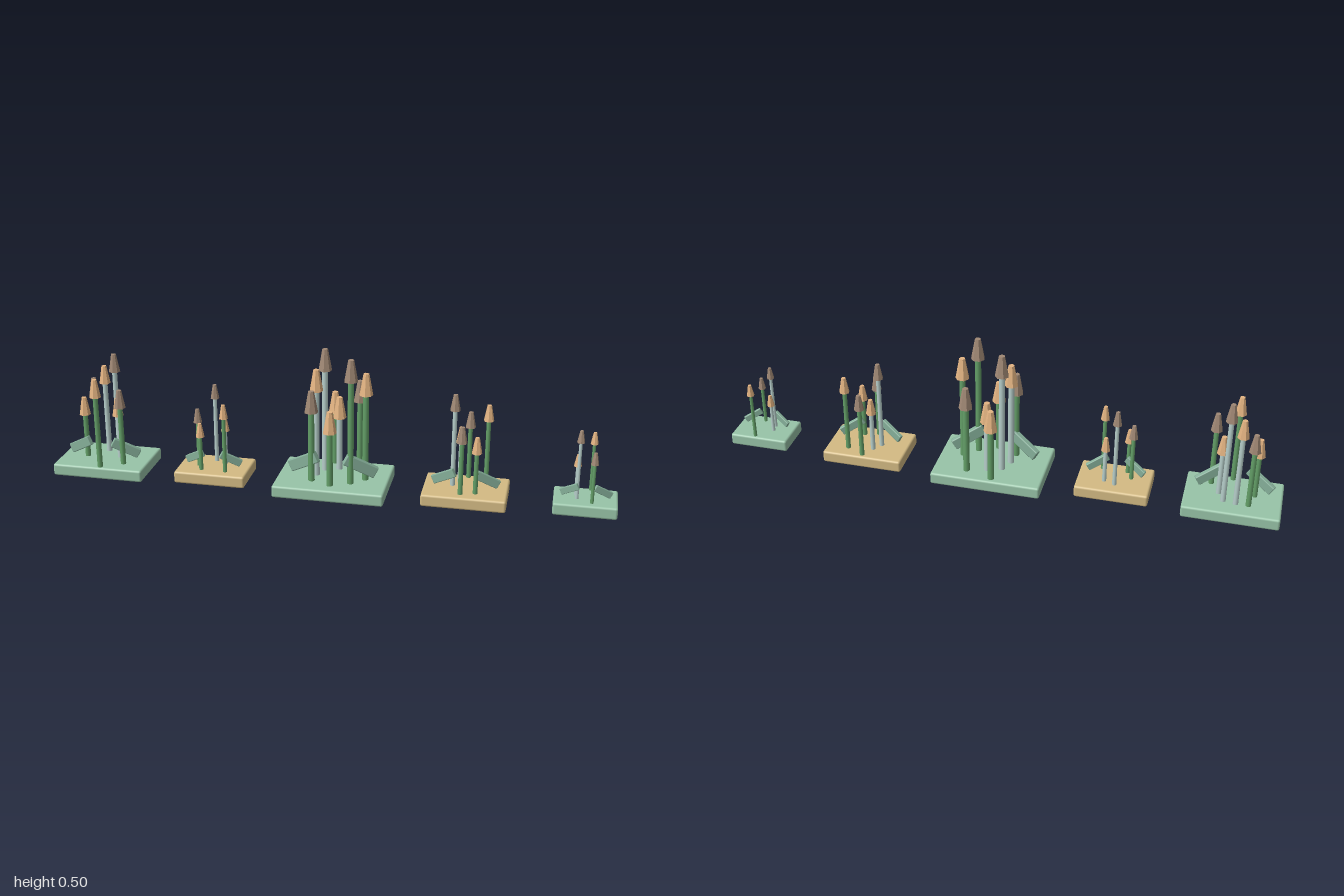
import * as THREE from 'three';
import { RoundedBoxGeometry } from 'three/addons/geometries/RoundedBoxGeometry.js';

const mat = (color, flatShading = false) => new THREE.MeshStandardMaterial({ color, flatShading });
const MATS = {
  greenBase: mat(0x98c4a8), tanBase: mat(0xd4bb84), leaf: mat(0x86b09a),
  green: mat(0x64a068), pale: mat(0xb8d0cc),
  orange: mat(0xe4b482, true), brown: mat(0xa08874, true),
};
const BASE_H = 0.044;

// Five planters. Each stalk: x, z, top height, cap colour, stem colour
const PLANTERS = [
  { x: -0.833, w: 0.333, d: 0.226, base: 'greenBase', stalks: [
    [-0.904, 0.011, 0.272, 'orange', 'green'], [-0.888, -0.05, 0.325, 'brown', 'green'],
    [-0.845, -0.05, 0.375, 'orange', 'pale'], [-0.824, 0.097, 0.375, 'orange', 'green'],
    [-0.802, -0.042, 0.425, 'brown', 'pale'], [-0.783, 0, 0.272, 'orange', 'pale'],
    [-0.752, 0.054, 0.325, 'brown', 'green']] },
  { x: -0.423, w: 0.258, d: 0.176, base: 'tanBase', stalks: [
    [-0.428, -0.04, 0.337, 'brown', 'pale'], [-0.39, -0.026, 0.22, 'orange', 'pale'],
    [-0.479, 0.011, 0.26, 'brown', 'green'], [-0.461, 0.046, 0.22, 'orange', 'green'],
    [-0.372, 0.049, 0.298, 'orange', 'green']] },
  { x: 0.0145, w: 0.393, d: 0.272, base: 'greenBase', stalks: [
    [-0.005, -0.112, 0.317, 'orange', 'green'], [0.021, -0.061, 0.317, 'orange', 'pale'],
    [-0.027, -0.043, 0.497, 'brown', 'pale'], [0.091, -0.082, 0.376, 'brown', 'green'],
    [-0.048, 0.006, 0.437, 'orange', 'pale'], [-0.055, 0.057, 0.376, 'brown', 'green'],
    [0.016, 0.087, 0.317, 'orange', 'green'], [0.083, 0.054, 0.497, 'brown', 'green'],
    [0.128, 0.012, 0.437, 'orange', 'green']] },
  { x: 0.48, w: 0.292, d: 0.2, base: 'tanBase', stalks: [
    [0.481, -0.082, 0.29, 'brown', 'green'], [0.545, -0.049, 0.333, 'orange', 'green'],
    [0.455, -0.036, 0.25, 'orange', 'pale'], [0.433, -0.004, 0.379, 'brown', 'pale'],
    [0.517, 0.05, 0.25, 'orange', 'green'], [0.467, 0.065, 0.29, 'brown', 'green']] },
  { x: 0.888, w: 0.217, d: 0.15, base: 'greenBase', stalks: [
    [0.904, -0.061, 0.258, 'orange', 'green'], [0.854, -0.01, 0.193, 'orange', 'pale'],
    [0.858, 0.019, 0.292, 'brown', 'pale'], [0.909, 0.045, 0.227, 'brown', 'green']] },
];

function add(parent, name, geometry, material, x, y, z) {
  const mesh = new THREE.Mesh(geometry, material);
  mesh.name = name;
  mesh.position.set(x, y, z);
  parent.add(mesh);
  return mesh;
}

function makePlanter({ x, w, d, base, stalks }) {
  const group = new THREE.Group();
  group.name = 'planter';
  const s = w / 0.393; // everything but the slab thickness scales with the width

  add(group, 'baseSlab', new RoundedBoxGeometry(w, BASE_H, d, 2, 0.008), MATS[base], x, BASE_H / 2, 0);

  // Slender stems with tapered caps
  const capH = 0.077 * s;
  for (const [sx, sz, top, cap, stem] of stalks) {
    const stalk = new THREE.Group();
    stalk.name = 'stalk';
    const y0 = BASE_H - 0.01, y1 = top - capH + 0.005;
    add(stalk, 'stem', new THREE.CylinderGeometry(0.0105 * s, 0.0115 * s, y1 - y0, 10),
      MATS[stem], sx, (y0 + y1) / 2, sz);
    add(stalk, 'cap', new THREE.CylinderGeometry(0.0105 * s, 0.0245 * s, capH, 7),
      MATS[cap], sx, top - capH / 2, sz);
    group.add(stalk);
  }

  // Pair of slanted leaves, inner ends raised and turned forward
  for (const side of [-1, 1]) {
    const leaf = add(group, 'leaf', new RoundedBoxGeometry(0.125 * s, 0.042 * s, 0.021 * s, 1, 0.004 * s),
      MATS.leaf, x + side * 0.101 * s, BASE_H + 0.062 * s, 0.038 * s);
    leaf.rotation.set(0, side * 0.38, -side * 0.5);
  }
  return group;
}

export function createModel() {
  const model = new THREE.Group();
  model.name = 'planterRow';
  for (const p of PLANTERS) model.add(makePlanter(p));
  return model;
}
